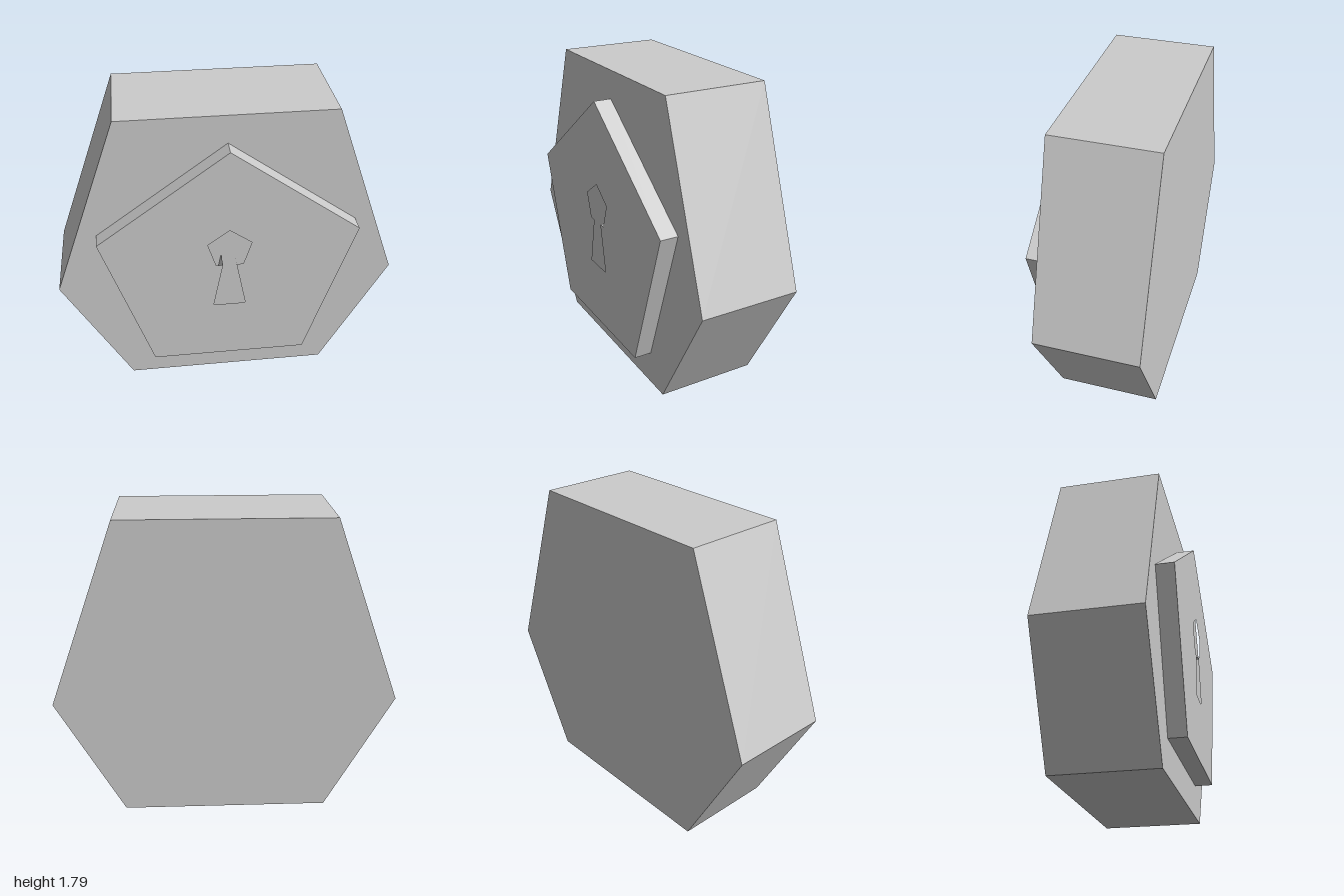
import * as THREE from 'three';

// Mirrors the right half of an outline (listed top to bottom) across x = 0
function mirrored(half) {
  const left = half.filter(([x]) => x > 0).map(([x, y]) => [-x, y]).reverse();
  return [...half, ...left].map(([x, y]) => new THREE.Vector2(x, y));
}

// Straight extrusion of a shape between two depths
function slab(name, shape, back, front, material) {
  const geometry = new THREE.ExtrudeGeometry(shape, { depth: front - back, bevelEnabled: false });
  geometry.translate(0, 0, back);
  const mesh = new THREE.Mesh(geometry, material);
  mesh.name = name;
  return mesh;
}

export function createModel() {
  const grey = new THREE.MeshStandardMaterial({ color: 0xcccccc, flatShading: true });
  grey.name = 'light grey';

  const group = new THREE.Group();
  group.name = 'padlockBadge';

  // Thick hexagonal body
  const hexagon = new THREE.Shape(mirrored([[0.608, 1.795], [1, 0.715], [0.608, 0]]));
  group.add(slab('hexagonBody', hexagon, -0.355, 0.25, grey));

  // Raised pentagonal plate with the keyhole cut through to the body
  const pentagon = new THREE.Shape(mirrored([[0, 1.63], [0.75, 1.085], [0.463, 0.203]]));
  pentagon.holes.push(new THREE.Path(mirrored([
    [0, 1.13], [0.127, 1.038], [0.079, 0.89], [0.039, 0.89], [0.095, 0.595],
  ])));
  group.add(slab('keyholePlate', pentagon, 0.25, 0.355, grey));

  return group;
}
